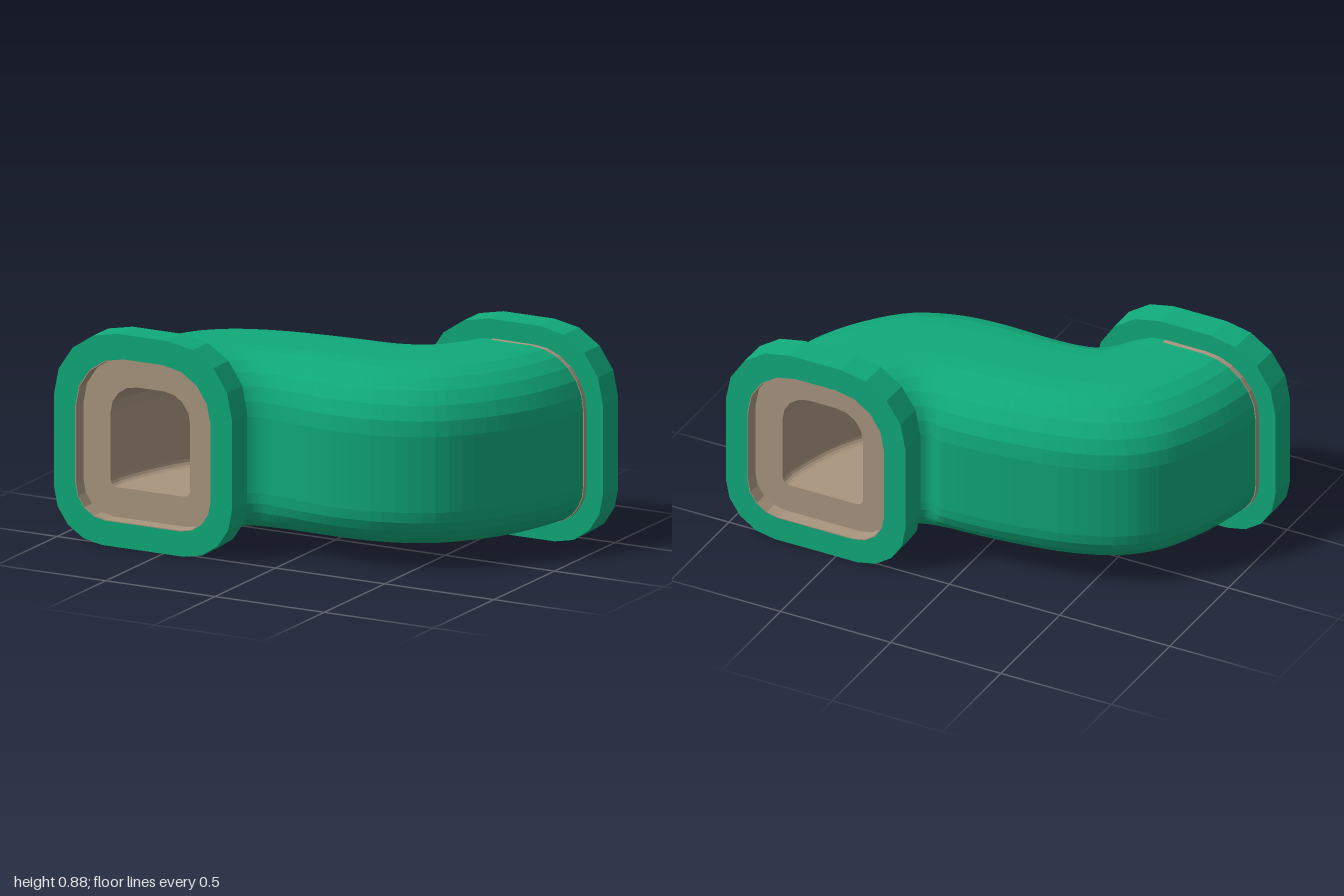
import * as THREE from 'three';

const CY = 0.4425; // height of the pipe axis
const CX = -0.5925; // sideways offset of the front opening

const green = new THREE.MeshStandardMaterial({ color: 0x10aa7a, flatShading: true });
green.name = 'green';
const beige = new THREE.MeshStandardMaterial({ color: 0xa9957f, flatShading: true, side: THREE.DoubleSide });
beige.name = 'beige';

// Counter-clockwise rounded outline, with wider corners at the top
function outline(w, h, rt, rb, n) {
  const pts = [];
  const corners = [
    [w / 2 - rb, -h / 2 + rb, rb, -90], [w / 2 - rt, h / 2 - rt, rt, 0],
    [-w / 2 + rt, h / 2 - rt, rt, 90], [-w / 2 + rb, -h / 2 + rb, rb, 180],
  ];
  for (const [x, y, r, start] of corners) {
    for (let i = 0; i <= n; i++) {
      const a = THREE.MathUtils.degToRad(start + (90 * i) / n);
      pts.push(new THREE.Vector2(x + r * Math.cos(a), y + r * Math.sin(a)));
    }
  }
  return pts;
}

const FLANGE = outline(0.815, 0.885, 0.29, 0.22, 4);
const RIM = outline(0.62, 0.68, 0.22, 0.14, 4);
const LIP = outline(0.612, 0.672, 0.216, 0.136, 4);
const HOLE = outline(0.365, 0.425, 0.12, 0.03, 4);
const BODY = outline(0.665, 0.725, 0.24, 0.17, 6);

// Matching points [x, z] of the left and right sides of the bend, front to back
const rails = [
  [-0.925, 0.4, -0.26, 0.4], [-0.885, 0.2, -0.215, 0.36], [-0.835, 0.05, -0.18, 0.342],
  [-0.77, -0.08, -0.14, 0.336], [-0.65, -0.2, -0.08, 0.343], [-0.45, -0.29, 0, 0.355],
  [-0.2, -0.34, 0.1, 0.37], [0, -0.36, 0.22, 0.375], [0.08, -0.361, 0.4, 0.35],
  [0.12, -0.358, 0.6, 0.262], [0.15, -0.346, 0.75, 0.1], [0.18, -0.342, 0.85, -0.08],
  [0.215, -0.36, 0.9, -0.25], [0.26, -0.4, 0.925, -0.4],
];
const leftRail = new THREE.CatmullRomCurve3(rails.map((r) => new THREE.Vector3(r[0], CY, r[1])));
const rightRail = new THREE.CatmullRomCurve3(rails.map((r) => new THREE.Vector3(r[2], CY, r[3])));

// Sweep a section between the two rails
function sweep(section, steps) {
  const pos = [], index = [], n = section.length;
  for (let i = 0; i <= steps; i++) {
    const l = leftRail.getPoint(i / steps), r = rightRail.getPoint(i / steps);
    for (const s of section) {
      const p = l.clone().lerp(r, 0.5 + s.x / 0.665);
      pos.push(p.x, CY + s.y, p.z);
    }
  }
  for (let i = 0; i < steps; i++) {
    for (let j = 0; j < n; j++) {
      const a = i * n + j, b = i * n + ((j + 1) % n);
      index.push(a, a + n, b, b, a + n, b + n);
    }
  }
  const g = new THREE.BufferGeometry();
  g.setAttribute('position', new THREE.Float32BufferAttribute(pos, 3));
  g.setIndex(index);
  g.computeVertexNormals();
  return g;
}

// Flat ring between two outlines
function ring(outer, inner, z, depth) {
  const shape = new THREE.Shape(outer);
  shape.holes.push(new THREE.Path(inner.slice().reverse()));
  return new THREE.ExtrudeGeometry(shape, { depth, bevelEnabled: false }).translate(0, 0, z);
}

function add(parent, name, geometry, material) {
  const m = new THREE.Mesh(geometry, material);
  m.name = name;
  parent.add(m);
  return m;
}

export function createModel() {
  const model = new THREE.Group();
  model.name = 'bentPipe';

  // S-shaped outer body and the hollow channel through it
  add(model, 'pipeBody', sweep(BODY, 52), green);
  add(model, 'innerChannel', sweep(HOLE, 52), beige);

  // Same end fitting at the front and, turned half round, at the back
  for (const side of ['front', 'back']) {
    const end = new THREE.Group();
    end.name = side + 'End';
    const fitting = new THREE.Group();
    fitting.name = side + 'Fitting';
    fitting.position.set(CX, CY, 0);
    add(fitting, 'flange', ring(FLANGE, RIM, 0.4, 0.127), green);
    add(fitting, 'recessWall', ring(RIM, LIP, 0.465, 0.0615), beige);
    add(fitting, 'liner', ring(RIM, HOLE, 0.4, 0.065), beige);
    add(fitting, 'sleeve', ring(BODY, HOLE, 0.378, 0.022), beige);
    end.add(fitting);
    if (side === 'back') end.rotation.y = Math.PI;
    model.add(end);
  }
  return model;
}
